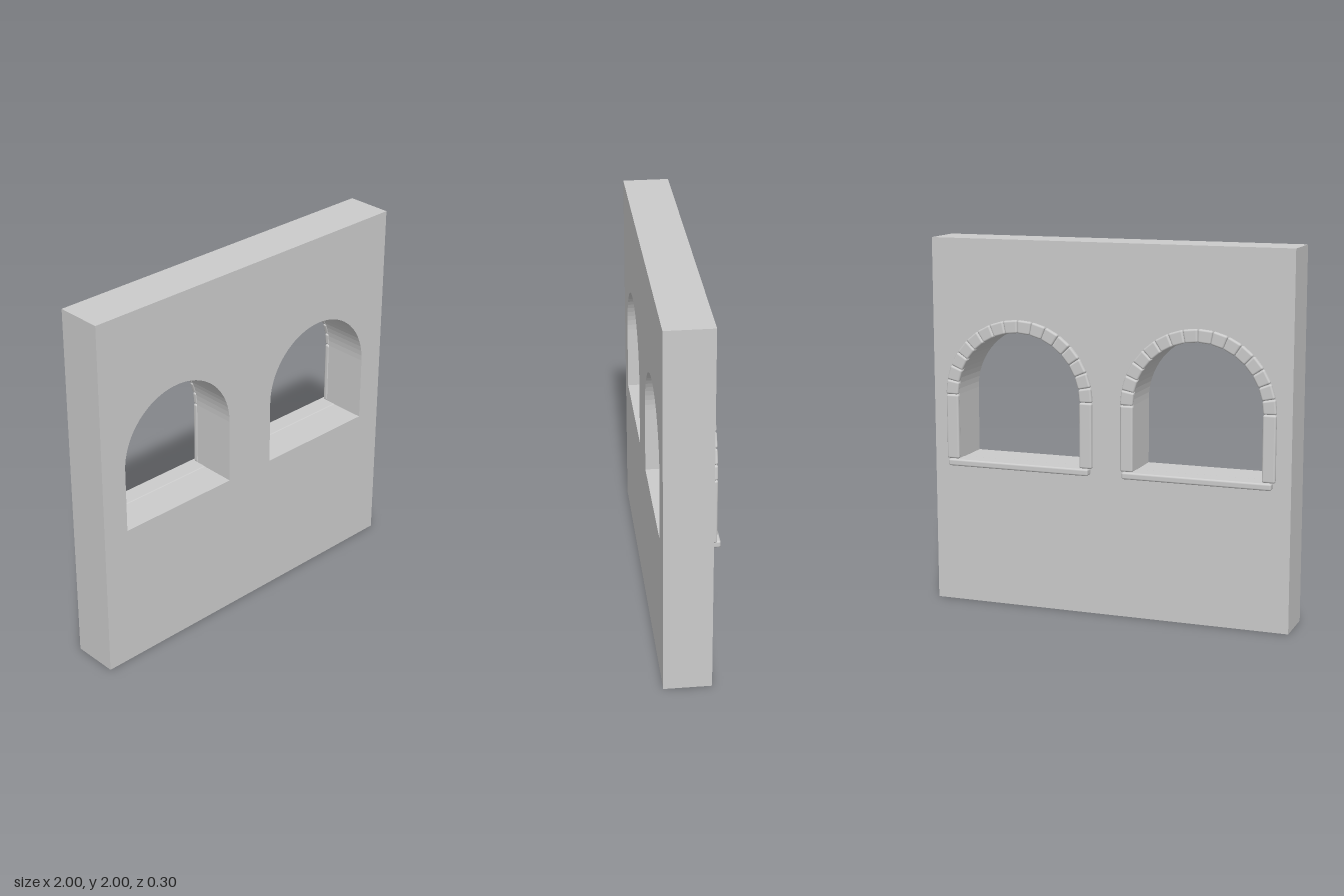
import * as THREE from 'three';
import { RoundedBoxGeometry } from 'three/addons/geometries/RoundedBoxGeometry.js';

const material = new THREE.MeshStandardMaterial({ color: 0xcccccc });
const WALL_BACK = -0.1, WALL_DEPTH = 0.25;
const SILL_Y = 0.8, SPRING_Y = 1.155;
const OPENING_R = 0.353, INNER_R = 0.35, OUTER_R = 0.42;
const MID_R = (INNER_R + OUTER_R) / 2;
const TRIM_Z = -0.113, TRIM_DEPTH = 0.03;
const STONES = 16;

function add(parent, name, geometry, x = 0, y = 0, z = 0) {
  const mesh = new THREE.Mesh(geometry, material);
  mesh.name = name;
  mesh.position.set(x, y, z);
  parent.add(mesh);
  return mesh;
}

// Slab with two round-headed openings
function wallGeometry() {
  const shape = new THREE.Shape();
  shape.moveTo(-1, 0).lineTo(1, 0).lineTo(1, 2).lineTo(-1, 2).closePath();
  for (const cx of [-0.5, 0.5]) {
    const hole = new THREE.Path();
    hole.moveTo(cx - OPENING_R, SILL_Y);
    hole.lineTo(cx + OPENING_R, SILL_Y);
    hole.absarc(cx, SPRING_Y, OPENING_R, 0, Math.PI, false);
    hole.closePath();
    shape.holes.push(hole);
  }
  return new THREE.ExtrudeGeometry(shape, { depth: WALL_DEPTH, bevelEnabled: false, curveSegments: 18 });
}

// Rounded block that widens towards the outside of the arch
function archStoneGeometry() {
  const width = MID_R * Math.PI / STONES - 0.002;
  const geometry = new RoundedBoxGeometry(width, OUTER_R - INNER_R, TRIM_DEPTH, 3, 0.01);
  const p = geometry.attributes.position;
  for (let i = 0; i < p.count; i++) p.setX(i, p.getX(i) * (MID_R + p.getY(i)) / MID_R);
  return geometry;
}

// Stone surround on the back of the wall
function windowTrim(stone) {
  const group = new THREE.Group();
  group.name = 'windowTrim';
  for (let i = 0; i < STONES; i++) {
    const a = (i + 0.5) * Math.PI / STONES;
    const mesh = add(group, 'archStone', stone, MID_R * Math.cos(a), SPRING_Y + MID_R * Math.sin(a), TRIM_Z);
    mesh.rotation.z = a - Math.PI / 2;
  }
  const jambHeight = SPRING_Y - SILL_Y - 0.002;
  const jamb = new RoundedBoxGeometry(OUTER_R - INNER_R, jambHeight, TRIM_DEPTH, 3, 0.01);
  for (const s of [-1, 1]) add(group, 'jamb', jamb, s * MID_R, (SILL_Y + SPRING_Y) / 2, TRIM_Z);
  // The sill runs partway into the opening
  add(group, 'sill', new RoundedBoxGeometry(0.81, 0.037, 0.108, 3, 0.01), 0, 0.7835, -0.094);
  return group;
}

export function createModel() {
  const model = new THREE.Group();
  model.name = 'archedWindowWall';
  add(model, 'wall', wallGeometry(), 0, 0, WALL_BACK);
  const stone = archStoneGeometry();
  for (const cx of [-0.5, 0.5]) {
    const trim = windowTrim(stone);
    trim.position.x = cx;
    model.add(trim);
  }
  return model;
}
